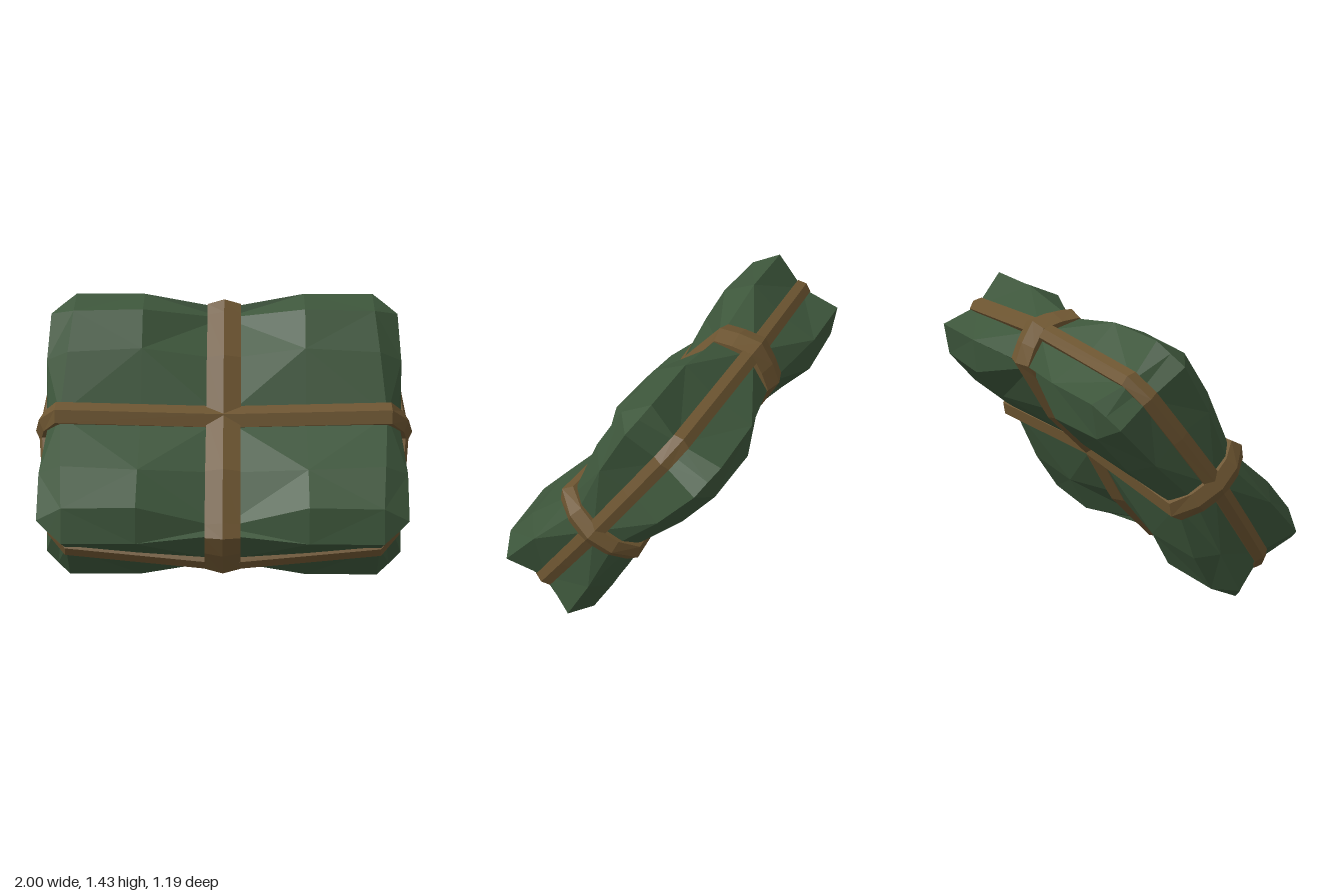
import * as THREE from 'three';

const green = new THREE.MeshStandardMaterial({ color: 0x3d563b, flatShading: true });
green.name = 'green cloth';
const brown = new THREE.MeshStandardMaterial({ color: 0x6d5531, flatShading: true });
brown.name = 'brown strap';

function meshFrom(name, positions, material) {
  const g = new THREE.BufferGeometry();
  g.setAttribute('position', new THREE.Float32BufferAttribute(positions, 3));
  g.computeVertexNormals();
  const mesh = new THREE.Mesh(g, material);
  mesh.name = name;
  return mesh;
}

// Pillow-like bundle: one octant, pinched along the straps, mirrored eight times
function createBundle() {
  // front[i][j]: i runs outward along x, j runs outward along y
  const front = [
    [[0, 0, 0.15], [0, 0.33, 0.195], [0, 0.61, 0.15], [0, 0.66, 0.17]],
    [[0.43, 0, 0.17], [0.43, 0.35, 0.275], [0.43, 0.57, 0.305], [0.43, 0.725, 0.212]],
    [[0.85, 0, 0.19], [0.82, 0.33, 0.27], [0.8, 0.57, 0.29], [0.8, 0.725, 0.212]],
    [[0.915, 0, 0.12], [0.94, 0.33, 0.18], [0.93, 0.6, 0.21], [0.865, 0.665, 0.21]],
  ];
  const border = [front[0][3], front[1][3], front[2][3], front[3][3], front[3][2], front[3][1], front[3][0]];
  // groove under the rim strap
  const rim = [
    [0, 0.73, 0], [0.43, 0.7, 0], [0.8, 0.665, 0], [0.83, 0.61, 0],
    [0.87, 0.57, 0], [0.9, 0.33, 0], [0.94, 0, 0],
  ];

  const tris = [];
  const quad = (a, b, c, d, flip) => {
    if (flip) tris.push([a, b, d], [b, c, d]);
    else tris.push([a, b, c], [a, c, d]);
  };
  for (let i = 0; i < 3; i++) {
    for (let j = 0; j < 3; j++) {
      quad(front[i][j], front[i + 1][j], front[i + 1][j + 1], front[i][j + 1], (i + j) % 2 === 1);
    }
  }
  for (let m = 0; m < 6; m++) quad(border[m], border[m + 1], rim[m + 1], rim[m], m % 2 === 0);

  const positions = [];
  for (const sx of [1, -1]) {
    for (const sy of [1, -1]) {
      for (const sz of [1, -1]) {
        for (const [a, b, c] of tris) {
          const corners = sx * sy * sz > 0 ? [a, b, c] : [a, c, b];
          for (const [x, y, z] of corners) positions.push(x * sx, y * sy, z * sz);
        }
      }
    }
  }
  return meshFrom('bundle', positions, green);
}

// Closed band with a raised middle ridge; quarter goes from the q axis to the p axis
function createStrap(name, quarter, halfWidth, ridge, place) {
  const outward = quarter.slice(0, -1);
  const back = quarter.slice(1).reverse();
  const loop = [
    ...outward,
    ...back.map(([p, q]) => [p, -q]),
    ...outward.map(([p, q]) => [-p, -q]),
    ...back.map(([p, q]) => [-p, q]),
  ];
  const profile = [[-halfWidth, -0.06], [-halfWidth, 0], [0, ridge], [halfWidth, 0], [halfWidth, -0.06]];
  const rings = loop.map(([p, q], k) => {
    const prev = loop[(k + loop.length - 1) % loop.length];
    const next = loop[(k + 1) % loop.length];
    const t = new THREE.Vector2(next[0] - prev[0], next[1] - prev[1]).normalize();
    return profile.map(([w, h]) => place(p - t.y * h, q + t.x * h, w));
  });
  const positions = [];
  rings.forEach((r, k) => {
    const s = rings[(k + 1) % rings.length];
    for (let m = 0; m < profile.length - 1; m++) {
      positions.push(...r[m], ...s[m], ...s[m + 1], ...r[m], ...s[m + 1], ...r[m + 1]);
    }
  });
  return meshFrom(name, positions, brown);
}

export function createModel() {
  const model = new THREE.Group();
  model.name = 'strappedBundle';
  const tilted = new THREE.Group();
  tilted.name = 'leaningBundle';
  tilted.rotation.x = -0.62;
  tilted.position.y = 0.717;
  model.add(tilted);

  // band along the height, front to back
  const lengthPath = [[0, 0.775], [0.1, 0.73], [0.18, 0.68], [0.185, 0.61], [0.215, 0.33], [0.172, 0]];
  // band across the width
  const crossPath = [[0, 0.17], [0.87, 0.217], [0.94, 0.12], [0.97, 0]];
  // narrow band around the rim
  const rimPath = [[0, 0.765], [0.8, 0.685], [0.885, 0.58], [0.925, 0.33], [0.965, 0]];

  tilted.add(
    createBundle(),
    createStrap('lengthStrap', lengthPath, 0.09, 0.025, (p, q, w) => [w, q, p]),
    createStrap('crossStrap', crossPath, 0.062, 0.03, (p, q, w) => [p, w, q]),
    createStrap('rimStrap', rimPath, 0.045, 0.018, (p, q, w) => [p, q, -w]),
  );
  return model;
}
